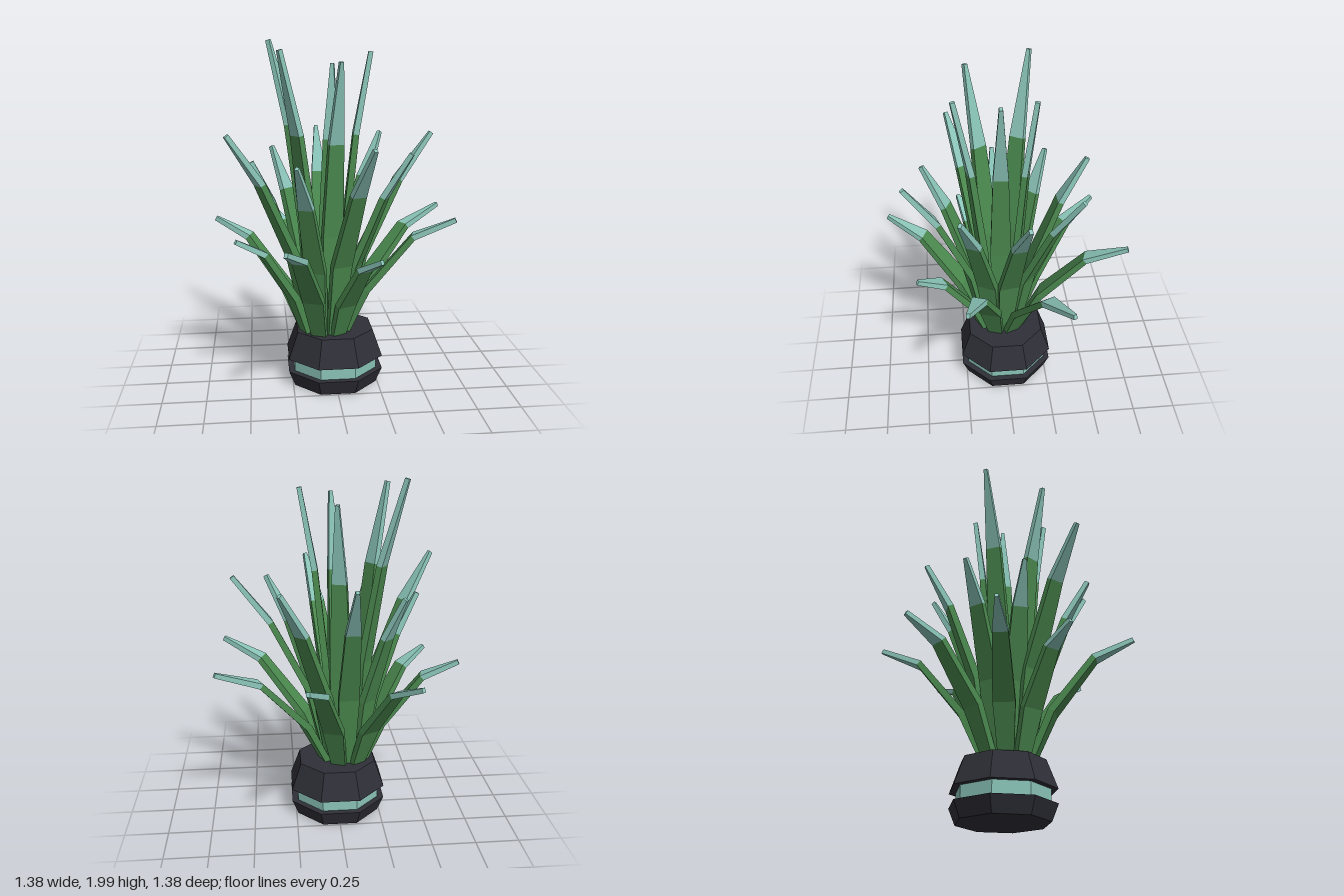
import * as THREE from 'three';

const material = (name, color) => {
  const m = new THREE.MeshStandardMaterial({ color });
  m.name = name;
  return m;
};

// Faceted skin over four-cornered cross-sections, closed at the far end
function loft(rings, cap) {
  const pos = [];
  const quad = (a, b, c, d) => [a, b, c, a, c, d].forEach((p) => pos.push(p.x, p.y, p.z));
  for (let k = 0; k < rings.length - 1; k++) {
    const a = rings[k], b = rings[k + 1];
    for (let i = 0; i < 4; i++) quad(a[i], a[(i + 1) % 4], b[(i + 1) % 4], b[i]);
  }
  if (cap) quad(...rings[rings.length - 1]);
  const g = new THREE.BufferGeometry();
  g.setAttribute('position', new THREE.Float32BufferAttribute(pos, 3));
  g.computeVertexNormals();
  return g;
}

const SOIL = 0.32;
const CENTRE = new THREE.Vector3(-0.05, 0, 0.02);
const WIDTH = [0.085, 0.12, 0.085, 0.02];
const THICK = [0.035, 0.04, 0.034, 0.026];

// Cross-sections of one bent, tapering blade that ends at the tip
function bladeRings([x, y, z], { base, out, rise }) {
  const dir = new THREE.Vector3(x, 0, z).sub(CENTRE);
  const reach = dir.length();
  dir.normalize();
  const side = new THREE.Vector3(dir.z, 0, -dir.x);
  const pts = out.map((f, i) => CENTRE.clone()
    .addScaledVector(dir, base + (reach - base) * f)
    .setY(SOIL + (y - SOIL) * rise[i]));
  return pts.map((p, i) => {
    const along = pts[Math.min(i + 1, 3)].clone().sub(pts[Math.max(i - 1, 0)]).normalize();
    const normal = along.clone().cross(side);
    return [[-1, -1], [1, -1], [1, 1], [-1, 1]].map(([s, n]) => p.clone()
      .addScaledVector(side, s * WIDTH[i] / 2)
      .addScaledVector(normal, n * THICK[i] / 2));
  });
}

// Three tiers of leaves: bending rule and tip positions
const TIERS = [
  {
    name: 'tallLeaf', base: 0.09, out: [0, 0.14, 0.5, 1], rise: [0, 0.38, 0.72, 1],
    tips: [[-0.355, 1.99, -0.165], [-0.305, 1.94, 0.185], [0.2, 1.93, 0.035],
      [0.012, 1.88, 0.265], [0.01, 1.86, -0.17]],
  },
  {
    name: 'middleLeaf', base: 0.11, out: [0, 0.2, 0.62, 1], rise: [0, 0.39, 0.77, 1],
    tips: [[-0.59, 1.51, 0.3], [-0.345, 1.375, -0.27], [-0.065, 1.47, -0.465],
      [0.15, 1.46, 0.55], [0.325, 1.44, -0.385], [0.395, 1.395, 0.26],
      [0.575, 1.47, -0.075], [-0.465, 1.33, 0.035], [-0.235, 1.36, 0.455]],
  },
  {
    name: 'lowLeaf', base: 0.13, out: [0, 0.2, 0.62, 1], rise: [0, 0.39, 0.85, 1],
    tips: [[0.68, 0.99, -0.3], [0.655, 1.02, 0.245], [-0.68, 0.97, -0.155],
      [-0.56, 0.93, 0.25], [-0.395, 0.98, -0.58], [-0.305, 0.975, 0.68],
      [0.2, 0.87, 0.51], [0.2, 1.02, -0.68]],
  },
];

export function createModel() {
  const root = new THREE.Group();
  root.name = 'pottedPlant';
  const charcoal = material('charcoal', 0x2f2f38);
  const green = material('leafGreen', 0x4c8b50);
  const teal = material('paleTeal', 0x8ac4b8);

  const add = (parent, name, geometry, mat) => {
    const mesh = new THREE.Mesh(geometry, mat);
    mesh.name = name;
    parent.add(mesh);
  };

  // Octagonal pot with flat sides facing the axes; sizes are half-widths across flats
  const pot = new THREE.Group();
  pot.name = 'pot';
  root.add(pot);
  const octagon = (name, top, bottom, y0, y1, mat) => {
    const k = 1 / Math.cos(Math.PI / 8);
    const g = new THREE.CylinderGeometry(top * k, bottom * k, y1 - y0, 8, 1, false, Math.PI / 8)
      .translate(0, (y0 + y1) / 2, 0).toNonIndexed();
    g.computeVertexNormals();
    add(pot, name, g, mat);
  };
  octagon('potFoot', 0.275, 0.24, 0, 0.092, charcoal);
  octagon('potBand', 0.24, 0.24, 0.085, 0.18, teal);
  octagon('potBody', 0.22, 0.275, 0.17, 0.33, charcoal);

  // Leaves: green blade and pale tip
  for (const tier of TIERS) {
    for (const tip of tier.tips) {
      const leaf = new THREE.Group();
      leaf.name = tier.name;
      const rings = bladeRings(tip, tier);
      add(leaf, 'blade', loft(rings.slice(0, 3), false), green);
      add(leaf, 'bladeTip', loft(rings.slice(2), true), teal);
      root.add(leaf);
    }
  }
  return root;
}
